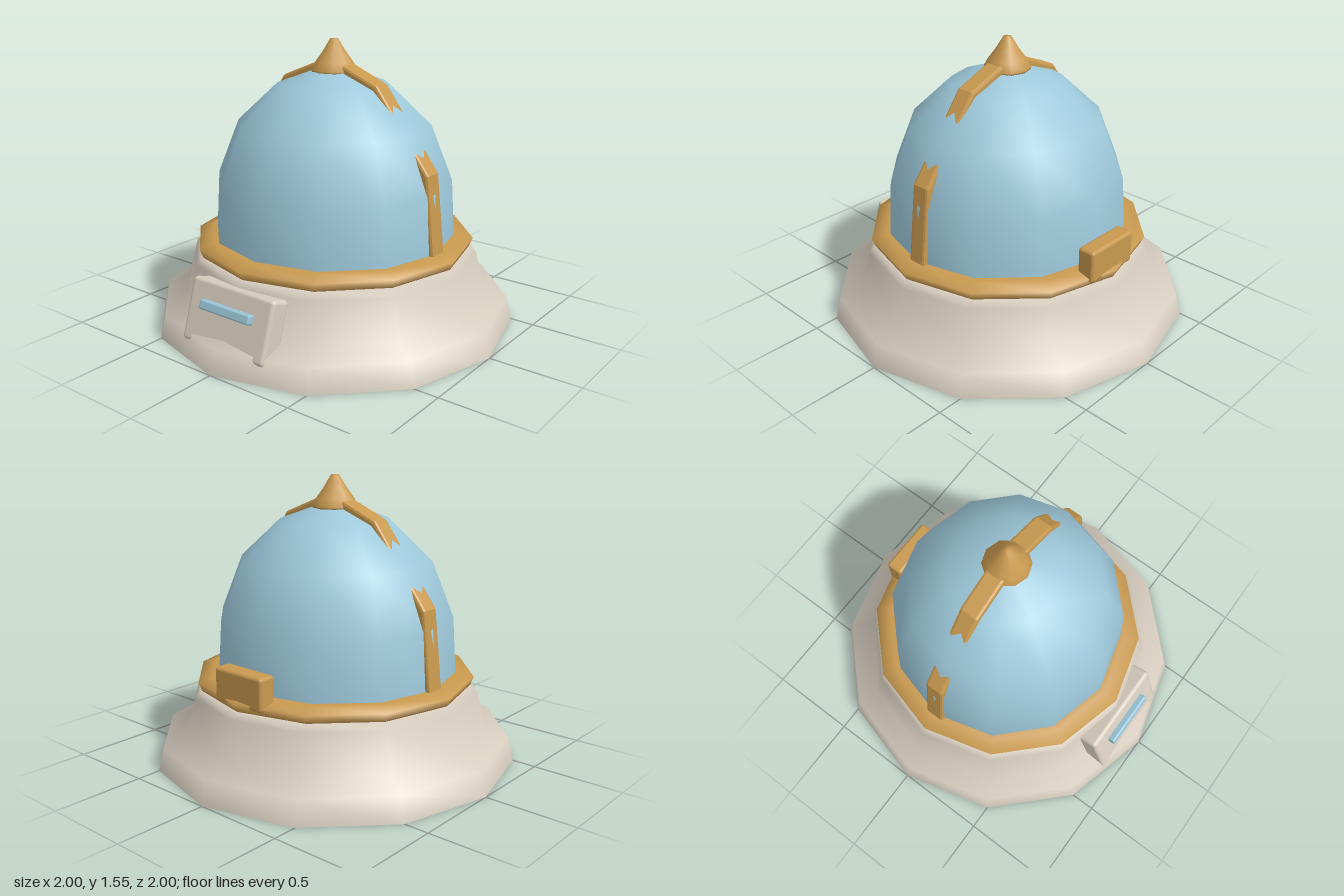
import * as THREE from 'three';
import { RoundedBoxGeometry } from 'three/addons/geometries/RoundedBoxGeometry.js';

export function createModel() {
  const model = new THREE.Group();
  model.name = 'domedHelmet';

  const paint = (name, color) => {
    const m = new THREE.MeshStandardMaterial({ color });
    m.name = name;
    return m;
  };
  const stone = paint('warmGrey', 0xd8cec0);
  const blue = paint('paleBlue', 0x9dc8da);
  const gold = paint('gold', 0xc8994f);

  const add = (name, geometry, material, parent = model) => {
    const mesh = new THREE.Mesh(geometry, material);
    mesh.name = name;
    parent.add(mesh);
    return mesh;
  };
  const lathe = (profile, sides) =>
    new THREE.LatheGeometry(profile.map(([r, y]) => new THREE.Vector2(r, y)), sides);

  // Flared brim with a ledge, closed underneath
  add('brim', lathe([[1, 0], [0.97, 0.13], [0.85, 0.17], [0.79, 0.39], [0.75, 0.425], [0.6, 0.43]], 12), stone);
  add('brimUnderside', new THREE.CircleGeometry(1, 12).rotateX(Math.PI / 2), stone);

  // Dome, slightly wider than deep
  const dome = add('dome', lathe([[0.657, 0.44], [0.655, 0.49], [0.635, 0.8], [0.518, 1.1],
    [0.3, 1.31], [0.1, 1.385], [0, 1.4]], 12), blue);
  dome.scale.x = 1.025;
  dome.position.z = 0.004;

  // Band around the foot of the dome
  add('band', lathe([[0.7, 0.415], [0.75, 0.42], [0.77, 0.47], [0.69, 0.492], [0.64, 0.492]], 12), gold);

  // Arched strap that dips in and out of the dome
  const outer = [[0.685, 0.47], [0.635, 0.91], [0.31, 1.335], [0.1, 1.42]];
  const inner = [[0.06, 1.36], [0.27, 1.28], [0.575, 0.88], [0.625, 0.47]];
  const mirror = (pts) => pts.map(([x, y]) => [-x, y]).reverse();
  const outline = [...outer, ...mirror(outer), ...mirror(inner.slice().reverse()).reverse(), ...inner];
  // Inner edge runs back from the left foot to the right foot
  outline.splice(8, 8, ...inner.slice().reverse().map(([x, y]) => [-x, y]), ...inner);
  const strap = new THREE.ExtrudeGeometry(
    new THREE.Shape(outline.map(([x, y]) => new THREE.Vector2(x, y))),
    { depth: 0.08, bevelEnabled: true, bevelThickness: 0.015, bevelSize: 0.015, bevelOffset: -0.015, bevelSegments: 2 });
  add('strap', strap.translate(0, 0, -0.04), gold);

  // Pointed finial
  add('finial', lathe([[0, 1.36], [0.12, 1.375], [0.126, 1.388], [0.102, 1.43], [0.065, 1.48],
    [0.022, 1.55], [0, 1.552]], 10), gold);

  // Tilted front plate with a raised bar
  const plate = new THREE.Group();
  plate.name = 'frontPlate';
  plate.position.set(0, 0.231, 0.816);
  plate.rotation.x = -0.32;
  model.add(plate);
  add('plateBody', new RoundedBoxGeometry(0.55, 0.33, 0.12, 2, 0.022), stone, plate);
  add('plateBar', new RoundedBoxGeometry(0.335, 0.05, 0.06, 2, 0.01), blue, plate).position.set(0, 0.042, 0.067);

  // Block at the back of the band
  add('backBlock', new RoundedBoxGeometry(0.33, 0.18, 0.1, 2, 0.018), gold).position.set(0, 0.535, -0.695);

  return model;
}
